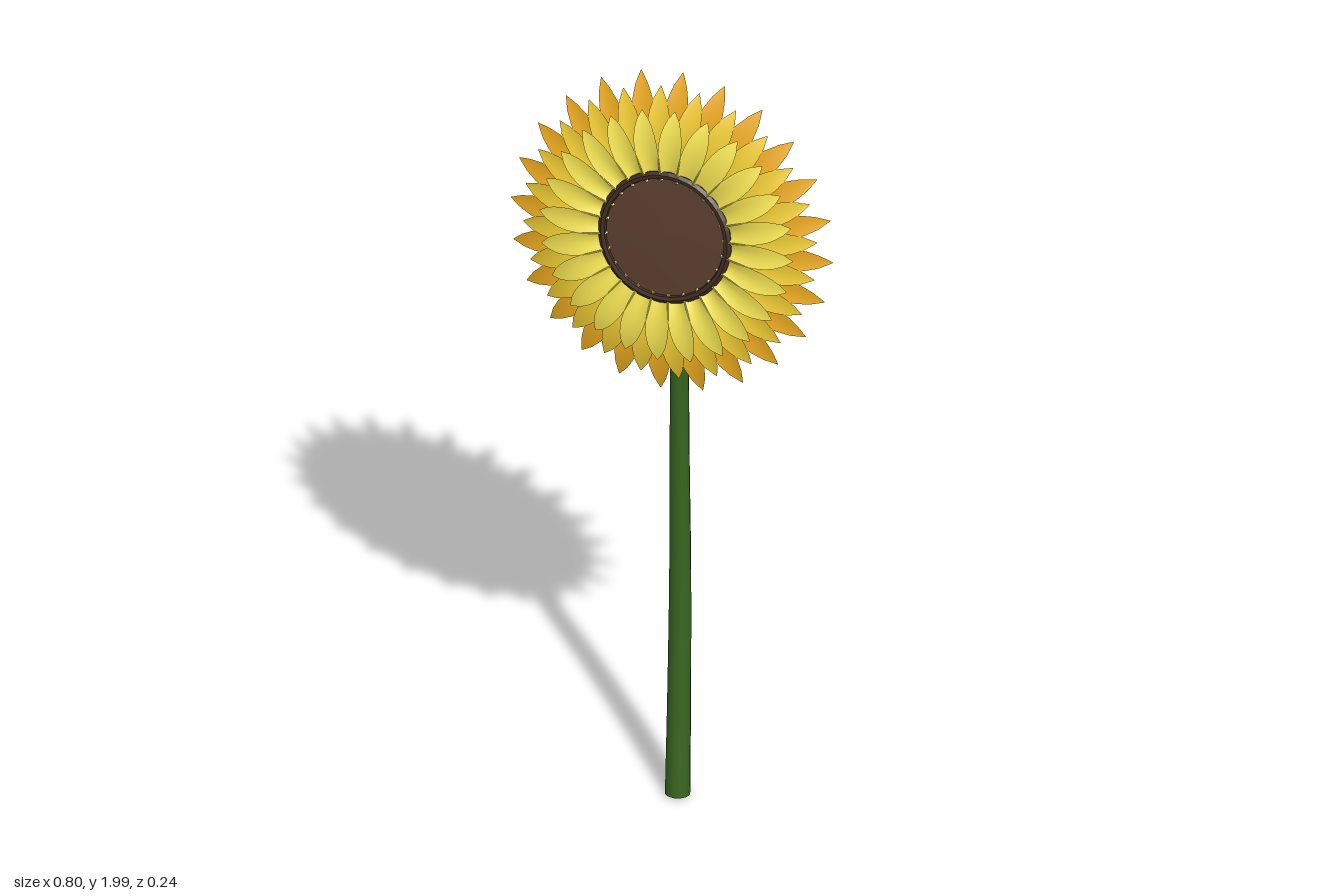
import * as THREE from 'three';

const mat = (color, opts = {}) => {
  const m = new THREE.MeshStandardMaterial(opts);
  m.color.set(color);
  return m;
};

function addMesh(parent, name, geometry, material) {
  const mesh = new THREE.Mesh(geometry, material);
  mesh.name = name;
  parent.add(mesh);
  return mesh;
}

// One cupped, pointed petal growing along +y and facing +z, its tip curling back.
function petalGeometry({ r0, r1, width, lift, curl }) {
  const rows = 9, cols = 4;
  const geo = new THREE.PlaneGeometry(1, 1, cols, rows);
  const p = geo.attributes.position;
  for (let i = 0; i < p.count; i++) {
    const u = p.getX(i) * 2, t = p.getY(i) + 0.5;
    const half = (width / 2) * Math.max(0.02, (0.55 + 0.75 * t) * Math.pow(1 - Math.pow(t, 2.6), 0.85));
    const z = lift + 0.018 * Math.sin(t * Math.PI * 0.75) - curl * Math.pow(t, 2.6) + 0.012 * u * u * (1 - t);
    p.setXYZ(i, u * half, r0 + (r1 - r0) * t, z);
  }
  geo.computeVertexNormals();
  return geo;
}

// Tube that tapers from radius a at the start to radius b at the end.
function taperedTube(curve, a, b, rings, sides) {
  const geo = new THREE.TubeGeometry(curve, rings, 1, sides);
  const p = geo.attributes.position, v = new THREE.Vector3();
  for (let i = 0; i <= rings; i++) {
    const c = curve.getPointAt(i / rings);
    const r = THREE.MathUtils.lerp(a, b, Math.min(1, (i / rings) * 1.4));
    for (let j = 0; j <= sides; j++) {
      const k = i * (sides + 1) + j;
      v.fromBufferAttribute(p, k).sub(c).multiplyScalar(r).add(c);
      p.setXYZ(k, v.x, v.y, v.z);
    }
  }
  return geo;
}

export function createModel() {
  const flower = new THREE.Group();
  flower.name = 'flower';

  // Stem, bowed backward and hooking into the back of the head
  const green = mat(0x37641f);
  const path = new THREE.CatmullRomCurve3([
    [0, 0.01, -0.027], [-0.008, 0.3, -0.06], [-0.015, 0.6, -0.085], [-0.021, 0.9, -0.097],
    [-0.022, 1.2, -0.098], [-0.022, 1.4, -0.085], [-0.02, 1.53, -0.062], [-0.012, 1.61, -0.03],
  ].map((a) => new THREE.Vector3(...a)));
  addMesh(flower, 'stem', taperedTube(path, 0.03, 0.022, 40, 12), green);
  const cap = addMesh(flower, 'stemEnd', new THREE.CircleGeometry(0.03, 12), green);
  cap.position.copy(path.getPointAt(0));
  cap.lookAt(cap.position.clone().sub(path.getTangentAt(0)));

  // Head, tilted slightly upward
  const head = new THREE.Group();
  head.name = 'head';
  head.position.set(0, 1.617, 0.06);
  head.rotation.x = -0.19;
  flower.add(head);

  const lathe = (name, points, segments, material) => {
    const geo = new THREE.LatheGeometry(points.map(([r, z]) => new THREE.Vector2(r, z)), segments);
    geo.rotateX(Math.PI / 2);
    return addMesh(head, name, geo, material);
  };

  // Green cup behind the petals
  lathe('calyx', [[0, -0.118], [0.05, -0.11], [0.11, -0.085], [0.15, -0.055], [0.168, -0.028], [0.15, -0.018]],
    20, mat(0x468a26, { flatShading: true, side: THREE.DoubleSide }));

  // Seed disc with a darker raised rim
  lathe('seedDisc', [[0.15, -0.002], [0.08, 0.001], [0, 0.002]], 40, mat(0x573c2c, { side: THREE.DoubleSide }));
  lathe('seedRim', [[0.165, -0.025], [0.165, 0], [0.157, 0.006], [0.148, 0.004], [0.144, -0.006]],
    40, mat(0x3d2a20, { flatShading: true, side: THREE.DoubleSide }));

  // Three rings of petals, from back to front
  const rings = [
    { name: 'outerPetal', offset: 0, color: 0xe9a81f, r0: 0.13, r1: 0.4, width: 0.082, lift: -0.03, curl: 0.033 },
    { name: 'middlePetal', offset: 0.5, color: 0xecc832, r0: 0.13, r1: 0.365, width: 0.078, lift: -0.02, curl: 0.03 },
    { name: 'innerPetal', offset: 0, color: 0xf0e052, r0: 0.14, r1: 0.315, width: 0.072, lift: -0.01, curl: 0.014 },
  ];
  const count = 24;
  for (const ring of rings) {
    const group = new THREE.Group();
    group.name = ring.name + 's';
    const geo = petalGeometry(ring), material = mat(ring.color, { side: THREE.DoubleSide });
    for (let i = 0; i < count; i++) {
      const petal = addMesh(group, ring.name, geo, material);
      petal.rotation.z = ((i + ring.offset) / count) * Math.PI * 2;
    }
    head.add(group);
  }
  return flower;
}
